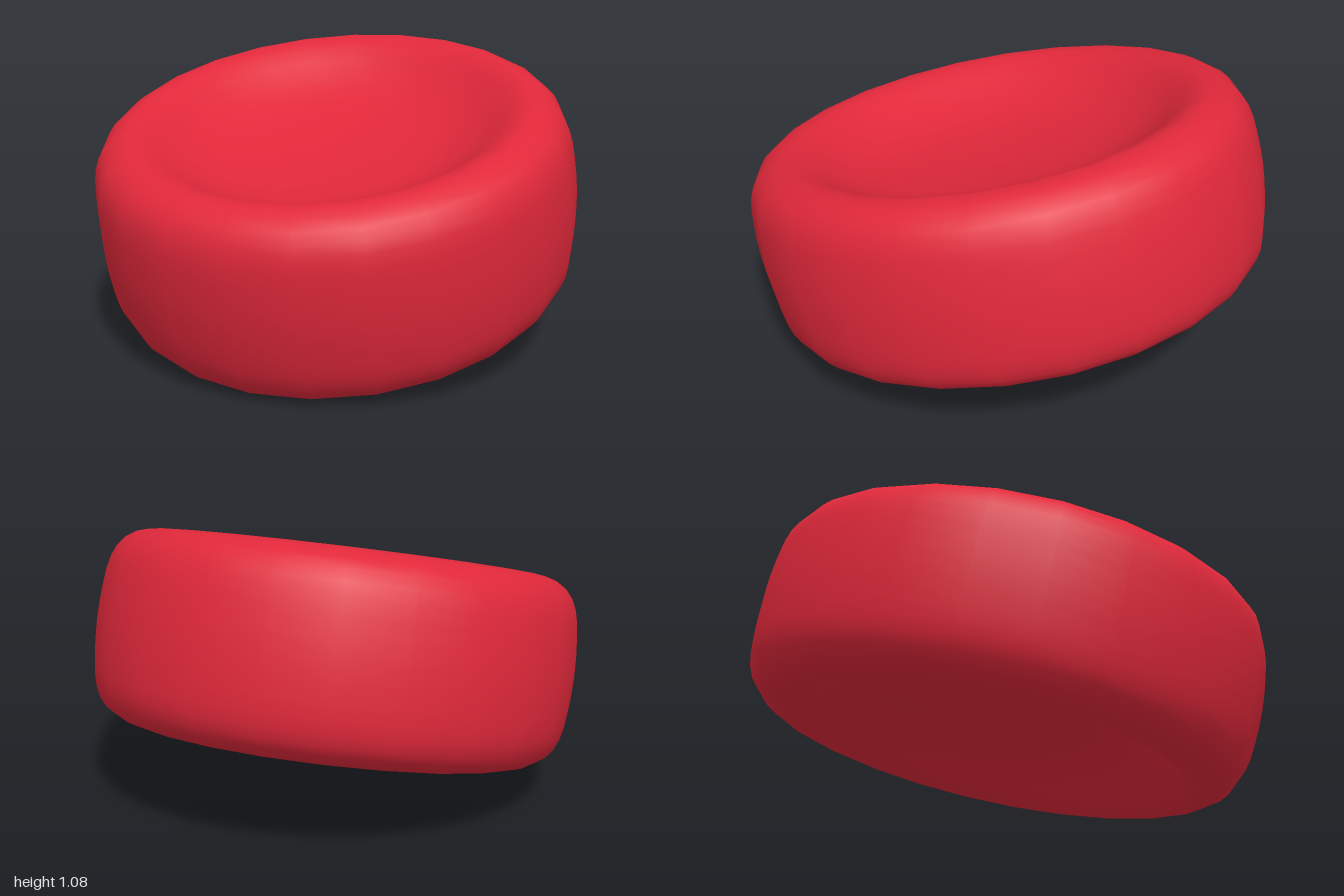
import * as THREE from 'three';

export function createModel() {
  const group = new THREE.Group();
  group.name = 'bloodCell';
  const red = new THREE.MeshStandardMaterial({ color: 0xe0283a });

  // Upper half of the biconcave profile, from the dish centre to the equator
  const half = [
    [0, 0.15], [0.28, 0.165], [0.48, 0.2], [0.63, 0.265], [0.74, 0.335],
    [0.83, 0.36], [0.92, 0.32], [0.968, 0.245], [0.987, 0.14],
  ];
  const profile = [
    ...half.map(([r, y]) => new THREE.Vector2(r, -y)),
    new THREE.Vector2(0.995, 0),
    ...half.map(([r, y]) => new THREE.Vector2(r, y)).reverse(),
  ];
  const points = new THREE.SplineCurve(profile).getPoints(36);
  points[0].x = points[points.length - 1].x = 0;

  // Thick rim with a shallow dish on both sides, slightly oval and tilted
  const geometry = new THREE.LatheGeometry(points, 24, 0.1);
  geometry.scale(0.932, 1, 1);
  geometry.rotateZ(0.1);
  geometry.rotateX(0.21);

  // Stand on the ground, centred
  geometry.computeBoundingBox();
  const { min, max } = geometry.boundingBox;
  geometry.translate(-(min.x + max.x) / 2, -min.y, -(min.z + max.z) / 2);

  const disc = new THREE.Mesh(geometry, red);
  disc.name = 'biconcaveDisc';
  group.add(disc);
  return group;
}
